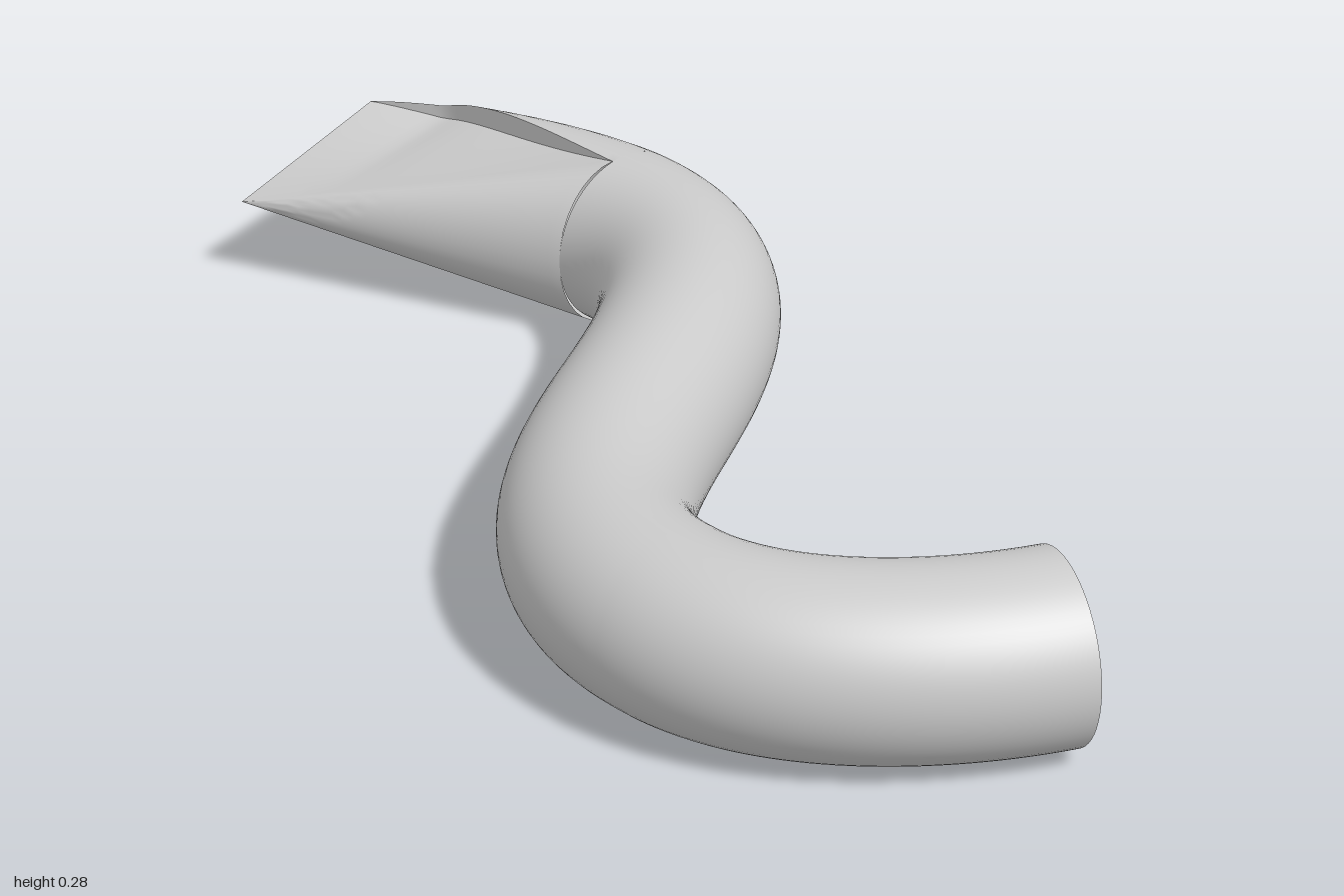
import * as THREE from 'three';
import { toCreasedNormals } from 'three/addons/utils/BufferGeometryUtils.js';

const R = 0.142; // tube radius, also the height of the centre line
const material = new THREE.MeshStandardMaterial({ color: 0xcccccc, side: THREE.DoubleSide });
const p = (x, z) => new THREE.Vector3(x, R, z);

// S-shaped centre line in the horizontal plane
function centreLine() {
  const path = new THREE.CurvePath();
  path.add(new THREE.CubicBezierCurve3(p(-0.05, 0.87), p(-0.23, 0.786), p(-0.39, 0.63), p(-0.387, 0.45)));
  path.add(new THREE.CubicBezierCurve3(p(-0.387, 0.45), p(-0.39, 0.22), p(-0.2, 0.11), p(0, 0)));
  path.add(new THREE.CubicBezierCurve3(p(0, 0), p(0.2, -0.11), p(0.385, -0.22), p(0.385, -0.45)));
  return path;
}

// Upper half outline of the flattened end, t = 0 (round tube) to 1 (tip)
function upperOutline(t) {
  const pts = [];
  const outer = 0.527 - 0.19 * Math.pow(t, 1.8);
  const rx = R + 0.02 * t, cx = outer - rx;
  const wall = 0.36 - 0.06 * Math.max(0, (t - 0.77) / 0.23);
  const side = 0.243 - 0.223 * t;
  const crease = 0.36 - 0.34 * t, creaseY = 0.14 * (1 - t);

  // rounded outer side up to the cut
  const aEnd = Math.acos((wall - cx) / rx);
  for (let i = 0; i <= 14; i++) {
    const a = aEnd * i / 14;
    pts.push([cx + rx * Math.cos(a), R * Math.sin(a)]);
  }
  // step down, then slope across to the crease
  const top = R * Math.sin(aEnd) - 0.035 * Math.sin(Math.PI * t);
  for (let i = 0; i <= 6; i++) {
    const s = i / 6;
    pts.push([THREE.MathUtils.lerp(wall, crease, s), THREE.MathUtils.lerp(top, creaseY, s)]);
  }
  // steep inner side
  for (let i = 1; i <= 8; i++) {
    const a = Math.PI / 2 * i / 8;
    pts.push([crease - (crease - side) * Math.sin(a), i === 8 ? 0 : creaseY * Math.cos(a)]);
  }
  return pts;
}

// Full ring: upper half plus its mirror; "squash" closes the end with a bulge
function ring(t, squash = 1) {
  const up = upperOutline(t);
  const down = up.slice(1, -1).reverse().map(([x, y]) => [x, -y]);
  return [...up, ...down].map(([x, y]) => {
    const k = THREE.MathUtils.clamp((x - 0.02) / 0.26, 0, 1);
    const z = -0.45 - 0.52 * t - 0.03 * k * (1 - squash * squash);
    return [x, R + y * squash, z];
  });
}

function loft(rings) {
  const n = rings[0].length, index = [];
  for (let i = 0; i < rings.length - 1; i++) {
    for (let j = 0; j < n; j++) {
      const a = i * n + j, b = i * n + (j + 1) % n;
      index.push(a, a + n, b, b, a + n, b + n);
    }
  }
  const g = new THREE.BufferGeometry();
  g.setAttribute('position', new THREE.Float32BufferAttribute(rings.flat(2), 3));
  g.setIndex(index);
  return toCreasedNormals(g, 0.5);
}

export function createModel() {
  const group = new THREE.Group();
  group.name = 'curvedTube';
  const add = (name, geometry) => {
    const mesh = new THREE.Mesh(geometry, material);
    mesh.name = name;
    group.add(mesh);
    return mesh;
  };

  const path = centreLine();
  add('tubeBody', new THREE.TubeGeometry(path, 120, R, 64, false));

  // flat disc closing the front end
  const cap = add('frontCap', new THREE.CircleGeometry(R, 64));
  const start = path.getPointAt(0);
  cap.position.copy(start);
  cap.lookAt(start.clone().sub(path.getTangentAt(0)));

  // cut and flattened back end
  const rings = [];
  for (let i = 0; i <= 28; i++) rings.push(ring(i / 28));
  for (const s of [0.8, 0.6, 0.4, 0.2, 0]) rings.push(ring(1, s));
  add('flattenedEnd', loft(rings));

  return group;
}
